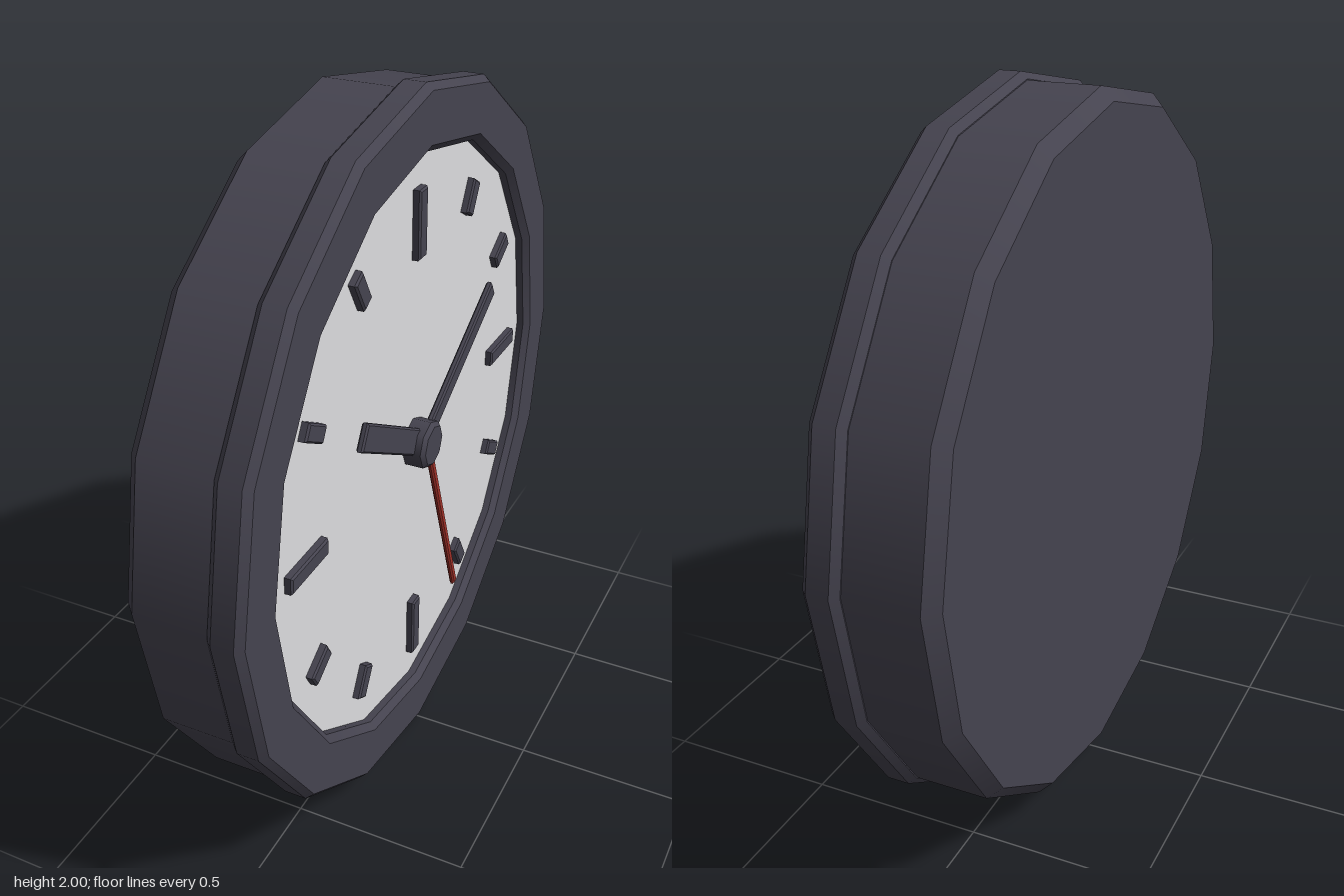
import * as THREE from 'three';
import { mergeGeometries } from 'three/addons/utils/BufferGeometryUtils.js';

const material = (name, color) => {
  const m = new THREE.MeshStandardMaterial({ color });
  m.name = name;
  return m;
};

// Turned part along the x axis; points are [radius, x], each band has a hard edge
function turned(points, sides) {
  const bands = [];
  for (let i = 0; i < points.length - 1; i++) {
    const pair = [points[i], points[i + 1]].map(([r, x]) => new THREE.Vector2(r, x));
    bands.push(new THREE.LatheGeometry(pair, sides));
  }
  return mergeGeometries(bands).rotateZ(-Math.PI / 2);
}

// Bevelled bar on the dial, running outward from r0 to r1 at a clockwise angle
function bar(r0, r1, width, x0, x1, degrees) {
  const b = 0.005, w = width / 2 - b;
  const shape = new THREE.Shape([
    new THREE.Vector2(-w, r0 + b), new THREE.Vector2(w, r0 + b),
    new THREE.Vector2(w, r1 - b), new THREE.Vector2(-w, r1 - b),
  ]);
  const g = new THREE.ExtrudeGeometry(shape, {
    depth: x1 - x0 - 2 * b, bevelEnabled: true, bevelSize: b, bevelThickness: b, bevelSegments: 1,
  });
  return g.translate(0, 0, x0 + b)
    .rotateZ(-THREE.MathUtils.degToRad(degrees))
    .rotateY(Math.PI / 2);
}

export function createModel() {
  const group = new THREE.Group();
  group.name = 'wallClock';
  const dark = material('charcoal', 0x45434f);
  const pale = material('dialGrey', 0xdcdcde);
  const red = material('red', 0xa03028);

  const add = (name, geometry, mat) => {
    const mesh = new THREE.Mesh(geometry, mat);
    mesh.name = name;
    mesh.position.y = 1;
    group.add(mesh);
  };

  // Case, bezel ring and dial
  add('case', turned([[0, -0.18], [0.943, -0.18], [0.979, -0.145], [0.979, 0.06]], 16), dark);
  add('bezel', turned([
    [0.95, 0.056], [0.982, 0.056], [1, 0.075], [1, 0.135], [0.982, 0.154],
    [0.847, 0.154], [0.828, 0.136], [0.828, 0.11],
  ], 16), dark);
  add('dial', turned([[0.84, 0.115], [0, 0.115]], 16), pale);

  // Hour markers, longer at the quarters
  for (let h = 0; h < 12; h++) {
    const quarter = h % 3 === 0;
    add(quarter ? 'quarterMarker' : 'hourMarker',
      bar(quarter ? 0.547 : 0.638, 0.735, 0.047, 0.11, 0.137, h * 30), dark);
  }

  // Hands and centre hub
  add('hourHand', bar(0, 0.425, 0.076, 0.13, 0.15, 300), dark);
  add('minuteHand', bar(0, 0.55, 0.05, 0.138, 0.158, 60), dark);
  add('secondHand', bar(0, 0.665, 0.024, 0.152, 0.168, 159.8), red);
  add('hub', turned([[0.07, 0.112], [0.07, 0.168], [0.058, 0.179], [0, 0.179]], 8), dark);

  return group;
}
